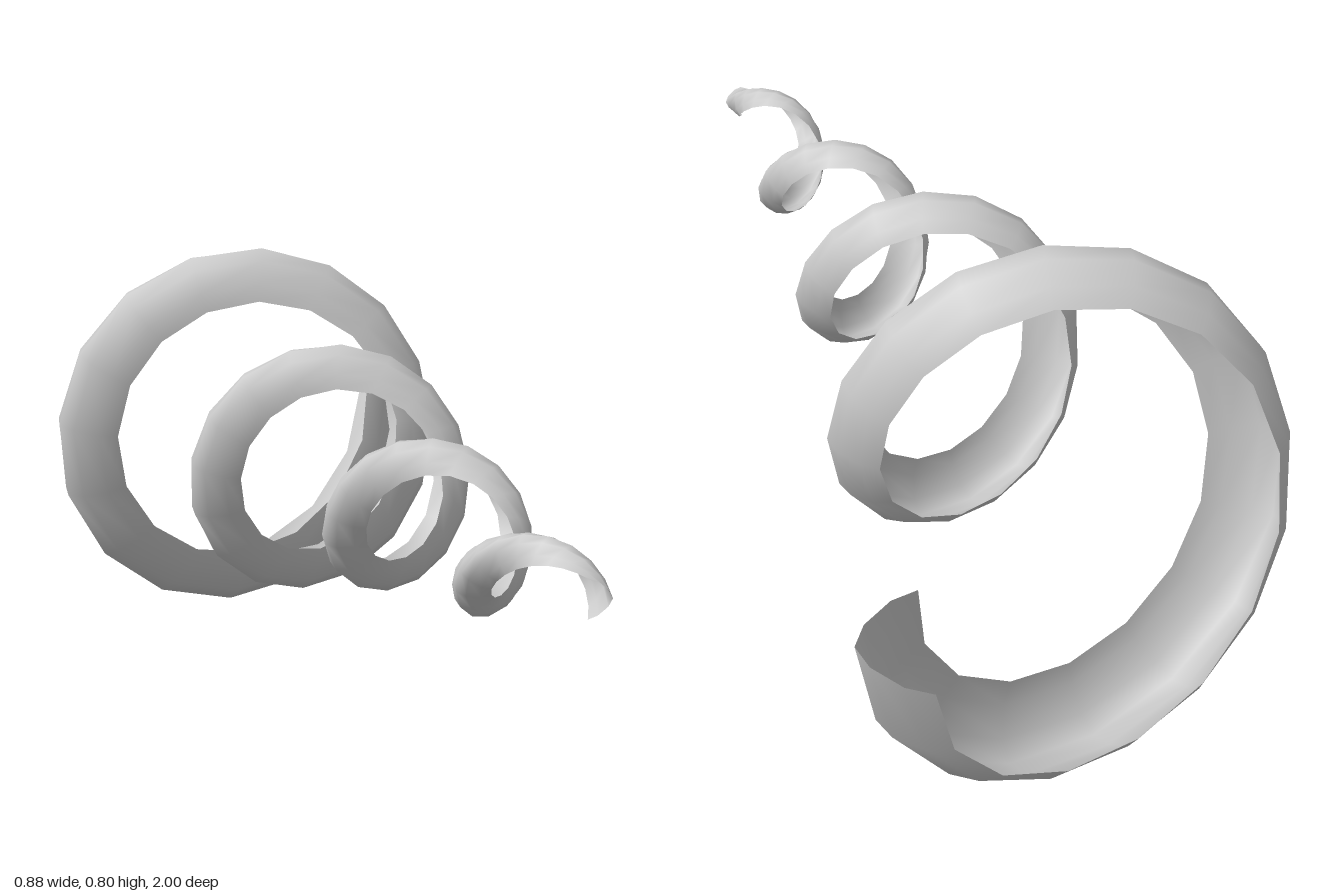
import * as THREE from 'three';

const TURNS = 4, STEPS = 64, SIDES = 6;
const TILT = THREE.MathUtils.degToRad(15); // the channel leans with the cone it winds around

// Outer radius of the coil at each half turn, from front (u = 0) to back (u = 1)
const COIL = [0.05, 0.092, 0.125, 0.15, 0.207, 0.257, 0.325, 0.402, 0.482];
function outerRadius(u) {
  const k = THREE.MathUtils.clamp(Math.floor(u * 8), 0, 7);
  return THREE.MathUtils.lerp(COIL[k], COIL[k + 1], u * 8 - k);
}

// Half-width of the channel, and the helix it follows
const channelRadius = (u) => 0.035 + 0.03 * u + 0.04 * u * u;
function helixPoint(u) {
  const a = u * TURNS * Math.PI * 2;
  const r = outerRadius(u) - channelRadius(u);
  return new THREE.Vector3(
    -0.04 + r * Math.cos(a), 0.442 + r * Math.sin(a), 0.98 - 1.76 * u + 0.06 * u * u - 0.2 * u ** 3);
}

// Sweep a slightly peaked half-round section along the helix, square to its direction
function spiralGeometry() {
  const positions = [], index = [];
  for (let i = 0; i <= STEPS; i++) {
    const u = i / STEPS, a = u * TURNS * Math.PI * 2, s = channelRadius(u);
    const centre = helixPoint(u);
    const along = helixPoint(u + 0.001).sub(helixPoint(u - 0.001)).normalize();
    const out = new THREE.Vector3(
      Math.cos(a) * Math.cos(TILT), Math.sin(a) * Math.cos(TILT), Math.sin(TILT));
    out.addScaledVector(along, -out.dot(along)).normalize();
    const forward = new THREE.Vector3().crossVectors(out, along);
    for (let j = 0; j <= SIDES; j++) {
      const t = (j / SIDES) * Math.PI, c = Math.cos(t);
      const p = centre.clone()
        .addScaledVector(out, s * Math.abs(Math.sin(t)) ** 1.3)
        .addScaledVector(forward, 0.9 * s * Math.sign(c) * Math.abs(c) ** 1.3);
      positions.push(p.x, p.y, p.z);
      if (i < STEPS && j < SIDES) {
        const k = i * (SIDES + 1) + j, n = k + SIDES + 1;
        index.push(k, k + 1, n, k + 1, n + 1, n);
      }
    }
  }
  const geometry = new THREE.BufferGeometry();
  geometry.setAttribute('position', new THREE.Float32BufferAttribute(positions, 3));
  geometry.setIndex(index);
  geometry.computeVertexNormals();
  return geometry;
}

export function createModel() {
  const group = new THREE.Group();
  group.name = 'conicalSpiral';
  // Open, thin half-round ribbon
  const material = new THREE.MeshStandardMaterial({ color: 0xcccccc, side: THREE.DoubleSide });
  const ribbon = new THREE.Mesh(spiralGeometry(), material);
  ribbon.name = 'spiralRibbon';
  group.add(ribbon);
  return group;
}
